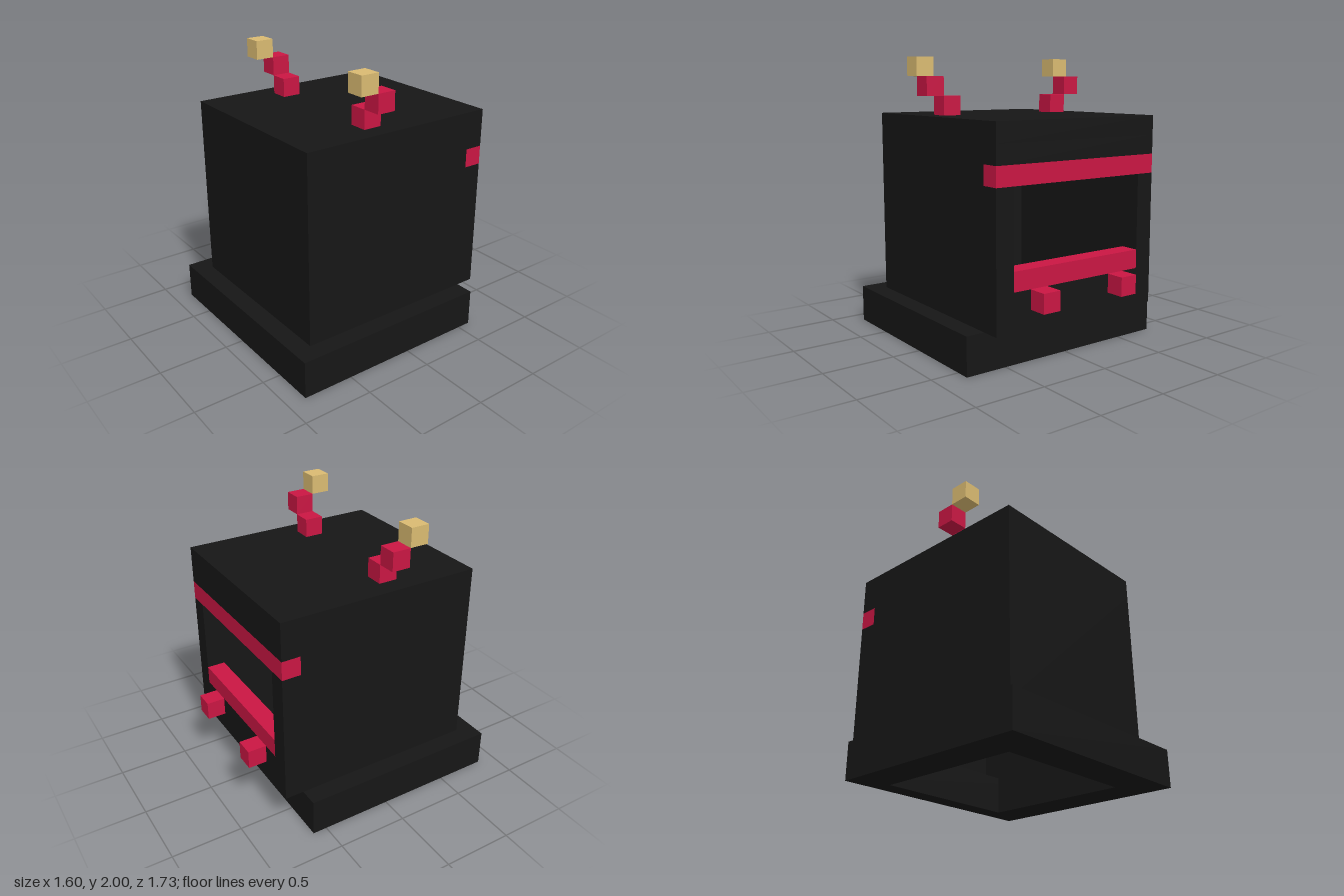
import * as THREE from 'three';

const U = 2 / 15; // one block; all sizes below are in blocks

function mat(name, color) {
  const m = new THREE.MeshStandardMaterial({ color });
  m.name = name;
  return m;
}

// Box between two corners
function block(parent, name, material, [x0, y0, z0], [x1, y1, z1]) {
  const g = new THREE.BoxGeometry((x1 - x0) * U, (y1 - y0) * U, (z1 - z0) * U);
  g.translate((x0 + x1) / 2 * U, (y0 + y1) / 2 * U, (z0 + z1) / 2 * U);
  const mesh = new THREE.Mesh(g, material);
  mesh.name = name;
  parent.add(mesh);
}

function group(parent, name) {
  const g = new THREE.Group();
  g.name = name;
  parent.add(g);
  return g;
}

export function createModel() {
  const model = new THREE.Group();
  model.name = 'helmet';
  const black = mat('black', 0x161616);
  const red = mat('red', 0xc91643);
  const gold = mat('gold', 0xd9ba71);

  // Open-bottomed rim, set forward of the shell
  const rim = group(model, 'rim');
  block(rim, 'rimFront', black, [-6, 0, 4.5], [6, 2, 6.5]);
  block(rim, 'rimBack', black, [-6, 0, -4.5], [6, 2, -3.5]);

  // Hollow shell, open at the back
  const shell = group(model, 'shell');
  block(shell, 'roof', black, [-5, 11, -5.5], [5, 12, 5.5]);
  block(shell, 'frontWall', black, [-5, 2, 4.5], [5, 11, 5.5]);
  block(shell, 'backLintel', black, [-5, 10, -5.5], [5, 11, -4.5]);
  block(shell, 'backSill', black, [-4, 2, -5.5], [4, 4, -4.5]);

  // Straps across the back
  block(model, 'upperStrap', red, [-5, 9, -5.5], [5, 10, -4.5]);
  block(model, 'lowerStrap', red, [-4, 4, -5.5], [4, 5, -4.5]);

  // Mirrored parts
  for (const s of [1, -1]) {
    const side = s > 0 ? 'left' : 'right';
    const pair = (parent, name, material, x0, x1, y0, y1, z0, z1) =>
      block(parent, side + name, material,
        [Math.min(s * x0, s * x1), y0, z0], [Math.max(s * x0, s * x1), y1, z1]);
    pair(rim, 'RimSide', black, 4, 6, 0, 2, -3.5, 4.5);
    pair(shell, 'Wall', black, 4, 5, 2, 11, -4.5, 4.5);
    pair(shell, 'BackJamb', black, 4, 5, 2, 9, -5.5, -4.5);
    pair(model, 'StrapEnd', red, 2, 3, 3, 4, -6.5, -5.5);
    pair(model, 'HornBase', red, 3, 4, 12, 13, 0.5, 1.5);
    pair(model, 'HornMiddle', red, 4, 5, 13, 14, 0.5, 1.5);
    pair(model, 'HornTip', gold, 4, 5, 14, 15, 1.5, 2.5);
  }
  return model;
}
